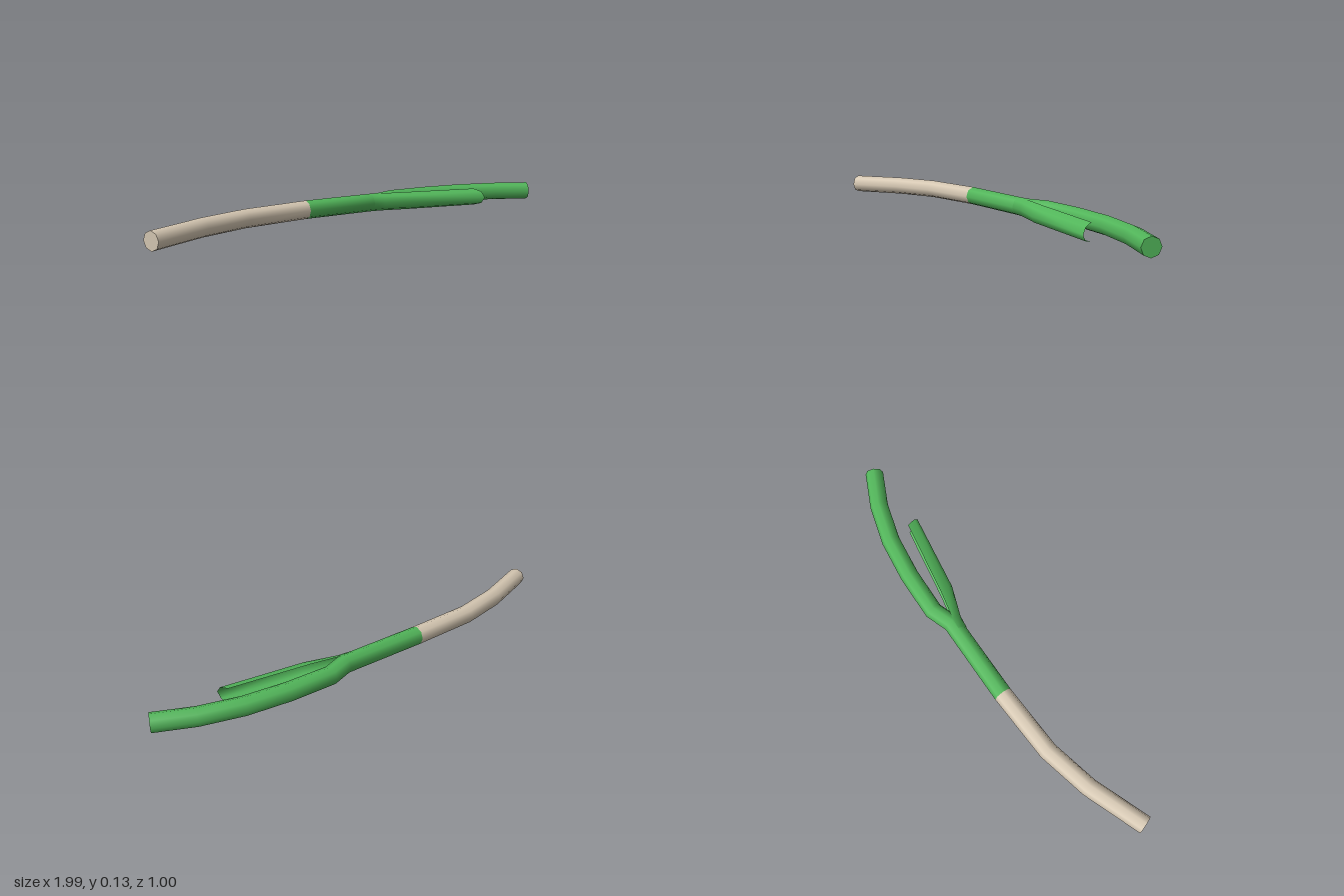
import * as THREE from 'three';

const SIDES = 8, RADIUS = 0.044;
const UP = new THREE.Vector3(0, 1, 0);
const v = (x, y, z) => new THREE.Vector3(x, y, z);

function build(pos, idx, normals) {
  const g = new THREE.BufferGeometry();
  g.setAttribute('position', new THREE.Float32BufferAttribute(pos, 3));
  g.setIndex(idx);
  if (normals) g.setAttribute('normal', new THREE.Float32BufferAttribute(normals, 3));
  else g.computeVertexNormals();
  return g;
}

// Octagonal ring of points and normals at path point i, mitred at bends
function ring(path, i) {
  const a = path[Math.max(i - 1, 0)], b = path[i], c = path[Math.min(i + 1, path.length - 1)];
  const d0 = b.clone().sub(a).normalize(), d1 = c.clone().sub(b).normalize();
  const t = d0.clone().add(d1).normalize();
  const side = UP.clone().cross(t).normalize();
  const top = t.clone().cross(side);
  const out = [];
  for (let j = 0; j < SIDES; j++) {
    const ang = (j / SIDES) * Math.PI * 2;
    const n = side.clone().multiplyScalar(Math.cos(ang)).addScaledVector(top, Math.sin(ang));
    out.push({ p: b.clone().addScaledVector(n, RADIUS), n });
  }
  return out;
}

// Smooth tube along path points from..to
function tube(path, from, to) {
  const pos = [], nor = [], idx = [];
  for (let i = from; i <= to; i++) {
    for (const { p, n } of ring(path, i)) { pos.push(...p); nor.push(...n); }
  }
  for (let i = 0; i < to - from; i++) {
    for (let j = 0; j < SIDES; j++) {
      const k = (j + 1) % SIDES, r = i * SIDES, s = r + SIDES;
      idx.push(r + j, r + k, s + j, r + k, s + k, s + j);
    }
  }
  return build(pos, idx, nor);
}

// Flat end cap
function cap(path, i, flip) {
  const pos = [...path[i]], idx = [];
  ring(path, i).forEach(({ p }) => pos.push(...p));
  for (let j = 0; j < SIDES; j++) {
    const a = j + 1, b = ((j + 1) % SIDES) + 1;
    idx.push(0, flip ? b : a, flip ? a : b);
  }
  return build(pos, idx);
}

// Half-open leaf: each row has a back-edge centre and the front of its bulge
function leaf(rows) {
  const N = 4, pos = [], idx = [];
  for (const [back, front, h] of rows) {
    for (let j = 0; j <= N; j++) {
      const a = -Math.PI / 2 + (j / N) * Math.PI;
      const p = back.clone().lerp(front, Math.cos(a));
      pos.push(p.x, p.y + h * Math.sin(a), p.z);
    }
  }
  for (let i = 0; i < rows.length - 1; i++) {
    for (let j = 0; j < N; j++) {
      const a = i * (N + 1) + j, b = a + N + 1;
      idx.push(a, b, a + 1, b, b + 1, a + 1);
    }
  }
  return build(pos, idx);
}

export function createModel() {
  const pale = new THREE.MeshStandardMaterial({ color: 0xd6c8b3 });
  const green = new THREE.MeshStandardMaterial({ color: 0x52b65a, side: THREE.DoubleSide });
  pale.name = 'pale stem';
  green.name = 'leaf green';

  const group = new THREE.Group();
  group.name = 'springOnion';
  const add = (name, geo, mat) => {
    const m = new THREE.Mesh(geo, mat);
    m.name = name;
    group.add(m);
  };

  const path = [
    v(-0.97, 0.046, 0.467), v(-0.76, 0.06, 0.257), v(-0.565, 0.07, 0.11),
    v(-0.268, 0.08, -0.04), v(0.12, 0.085, -0.21), v(0.2, 0.087, -0.287),
    v(0.4, 0.089, -0.37), v(0.6, 0.09, -0.431), v(0.8, 0.09, -0.46), v(0.992, 0.089, -0.457),
  ];
  const joint = 3, last = path.length - 1;

  // Pale lower stem
  add('stem', tube(path, 0, joint), pale);
  add('stemEnd', cap(path, 0, true), pale);

  // Green upper stalk
  add('stalk', tube(path, joint, last), green);
  add('stalkEnd', cap(path, last, false), green);

  // Split leaf, open toward the back
  add('splitLeaf', leaf([
    [v(0.07, 0.084, -0.185), v(0.09, 0.084, -0.147), 0.043],
    [v(0.13, 0.084, -0.205), v(0.15, 0.084, -0.165), 0.043],
    [v(0.28, 0.083, -0.237), v(0.31, 0.083, -0.178), 0.043],
    [v(0.655, 0.08, -0.335), v(0.7, 0.08, -0.285), 0.042],
  ]), green);

  return group;
}
